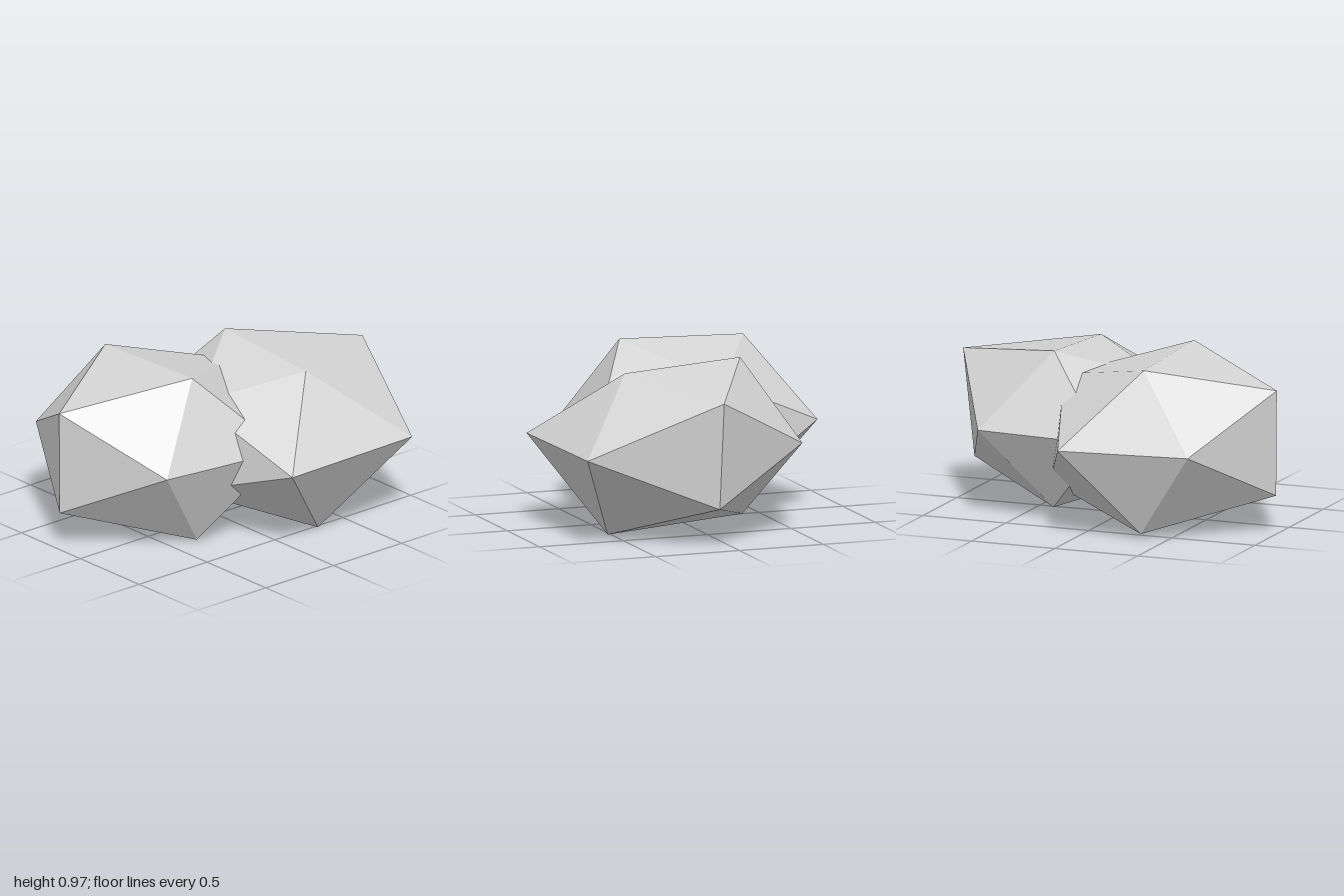
import * as THREE from 'three';

const MINOR = 0.618; // short coordinate of an icosahedron corner
const SQUASH = 0.745; // boulders are flattened in height

// Uneven icosahedron: each corner is pushed out by its own amount.
// Amounts per family are listed for the sign pairs (-,-), (-,+), (+,-), (+,+).
function boulderGeometry({ front, ridge, side }) {
  const at = (list, a, b) => list[(a > 0 ? 2 : 0) + (b > 0 ? 1 : 0)];
  const corner = (m, x, y, z) => new THREE.Vector3(x, y * SQUASH, z).multiplyScalar(m);
  const F = (sx, sz) => corner(at(front, sx, sz), sx * MINOR, 0, sz); // front and back corners
  const R = (sy, sz) => corner(at(ridge, sy, sz), 0, sy, sz * MINOR); // top and bottom corners
  const S = (sx, sy) => corner(at(side, sx, sy), sx, sy * MINOR, 0); // left and right corners

  const points = [];
  const addFace = (a, b, c) => {
    const normal = b.clone().sub(a).cross(c.clone().sub(a));
    const outward = normal.dot(a.clone().add(b).add(c)) > 0;
    points.push(...(outward ? [a, b, c] : [a, c, b]));
  };
  for (const p of [-1, 1]) {
    for (const q of [-1, 1]) {
      // two faces meeting along each of the six short ridges
      addFace(F(-1, p), F(1, p), R(q, p));
      addFace(R(p, -1), R(p, 1), S(q, p));
      addFace(S(p, -1), S(p, 1), F(p, q));
      // one face per octant
      for (const r of [-1, 1]) addFace(F(p, r), R(q, r), S(p, q));
    }
  }
  const geometry = new THREE.BufferGeometry().setFromPoints(points);
  geometry.computeVertexNormals();
  return geometry;
}

export function createModel() {
  const stone = new THREE.MeshStandardMaterial({ color: 0xd4d4d4, flatShading: true });
  stone.name = 'pale stone grey';

  const boulders = [
    {
      name: 'rearBoulder',
      centre: [-0.348, 0.518, -0.18],
      front: [0.555, 0.576, 0.649, 0.68],
      ridge: [0.656, 0.675, 0.582, 0.612],
      side: [0.648, 0.652, 0.715, 0.63],
    },
    {
      name: 'frontBoulder',
      centre: [0.302, 0.518, 0.09],
      front: [0.663, 0.737, 0.593, 0.717],
      ridge: [0.607, 0.692, 0.586, 0.525],
      side: [0.588, 0.525, 0.63, 0.698],
    },
  ];

  const model = new THREE.Group();
  model.name = 'boulders';
  for (const boulder of boulders) {
    const mesh = new THREE.Mesh(boulderGeometry(boulder), stone);
    mesh.name = boulder.name;
    mesh.position.set(...boulder.centre);
    model.add(mesh);
  }
  return model;
}
